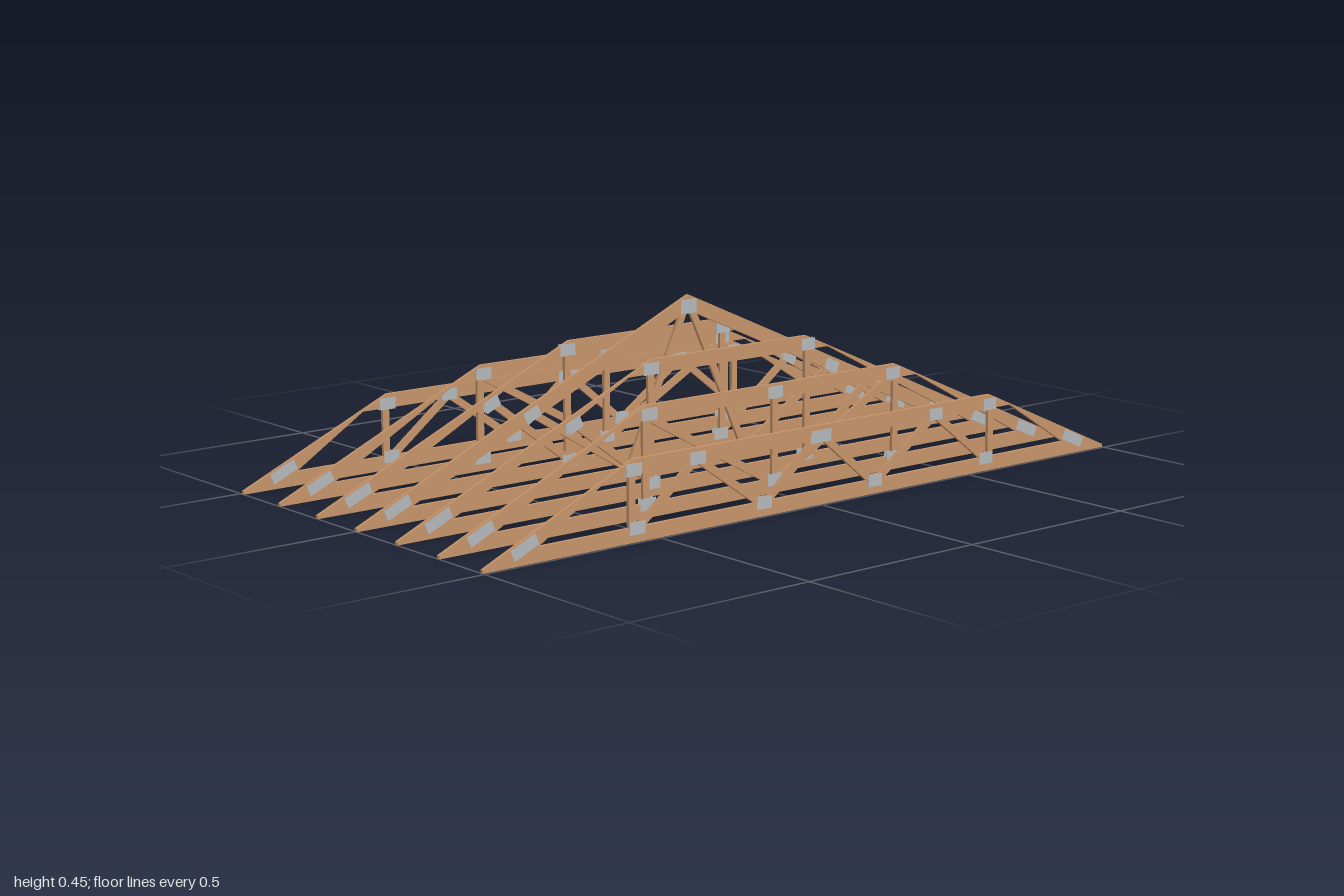
import * as THREE from 'three';

const WIDTH = 0.009, DEPTH = 0.036, WEB = 0.019;
const HEEL = 0.008, SLOPE = 0.44;
const DROP = DEPTH * Math.hypot(1, SLOPE);
const PITCH = Math.atan(SLOPE);
const wood = new THREE.MeshStandardMaterial({ color: 0xc6946a });
const steel = new THREE.MeshStandardMaterial({ color: 0xb4b8ba });

// Roof line height at a distance z from the middle, and where it reaches a height
const roofY = z => HEEL + SLOPE * (1 - Math.abs(z));
const roofZ = y => 1 - (y - HEEL) / SLOPE;

// Timber cut from a side outline of [z, y] points
function timber(name, points, width = WIDTH) {
  const shape = new THREE.Shape(points.map(p => new THREE.Vector2(...p)));
  const geo = new THREE.ExtrudeGeometry(shape, { depth: width, bevelEnabled: false });
  geo.translate(0, 0, -width / 2);
  geo.rotateY(-Math.PI / 2);
  const mesh = new THREE.Mesh(geo, wood);
  mesh.name = name;
  return mesh;
}

// Straight web between two [z, y] points
function web([z1, y1], [z2, y2]) {
  const length = Math.hypot(z2 - z1, y2 - y1);
  const mesh = new THREE.Mesh(new THREE.BoxGeometry(WIDTH * 0.97, WEB, length), wood);
  mesh.position.set(0, (y1 + y2) / 2, (z1 + z2) / 2);
  mesh.rotation.x = -Math.atan2(y2 - y1, z2 - z1);
  mesh.name = 'web';
  return mesh;
}

// Nail plates pressed on both faces of a joint
function plate([z, y], length = 0.046, height = 0.03, angle = 0) {
  const group = new THREE.Group();
  group.name = 'nailPlates';
  for (const side of [-1, 1]) {
    const mesh = new THREE.Mesh(new THREE.BoxGeometry(0.0008, height, length), steel);
    mesh.position.set(side * (WIDTH / 2 + 0.0003), y, z);
    mesh.rotation.x = angle;
    mesh.name = 'nailPlate';
    group.add(mesh);
  }
  return group;
}

// One truss: flat-topped at the given height, or peaked when the height is the ridge
function truss(name, height, webs, plates) {
  const group = new THREE.Group();
  group.name = name;
  const zTop = Math.max(roofZ(height), 0);
  const zOuter = roofZ(DEPTH);
  const zInner = roofZ(DEPTH + DROP);

  group.add(timber('bottomChord', [
    [-1, 0], [1, 0], [1, HEEL], [zOuter, DEPTH], [-zOuter, DEPTH], [-1, HEEL],
  ]));
  if (zTop > 0.01) {
    const zUnder = roofZ(height - DEPTH);
    group.add(timber('flatTopChord', [
      [-zUnder, height - DEPTH], [zUnder, height - DEPTH], [zTop, height], [-zTop, height],
    ]));
  }
  for (const s of [-1, 1]) {
    // sloped chord, cut to fit the bottom chord and the flat chord or ridge
    const end = zTop > 0.01
      ? [[s * roofZ(height - DEPTH), height - DEPTH],
        [s * (roofZ(height - DEPTH) - (DROP - DEPTH) / SLOPE), height - DEPTH]]
      : [[0, roofY(0)], [0, roofY(0) - DROP]];
    group.add(timber('slopedTopChord', [[s * zInner, DEPTH], [s * zOuter, DEPTH], ...end]));
    group.add(plate([s * 0.885, 0.04], 0.075, 0.028, s * PITCH));
    for (const [a, b] of webs) group.add(web([s * a[0], a[1]], [s * b[0], b[1]]));
    for (const [z, y, tilt = 0] of plates) group.add(plate([s * z, y], 0.046, 0.03, s * tilt * PITCH));
  }
  return group;
}

export function createModel() {
  const root = new THREE.Group();
  root.name = 'hipRoofTrusses';
  const LOW = 0.03;

  // Half-side web layouts, mirrored about the middle of each truss
  const makers = [
    () => truss('ridgeTruss', roofY(0), [
      [[0.012, 0.41], [0.19, LOW]],
      [[0.19, LOW], [0.48, 0.205]],
    ], [[0.19, 0.033], [0.49, 0.208, 1]]),
    () => truss('upperHipTruss', 0.338, [
      [[0.255, LOW], [0.255, 0.31]],
      [[0.245, LOW], [0.48, 0.205]],
    ], [[0.255, 0.315], [0.25, 0.033], [0.49, 0.208, 1]]),
    () => truss('middleHipTruss', 0.271, [
      [[0.405, LOW], [0.405, 0.245]],
      [[0.395, 0.24], [0.01, LOW]],
    ], [[0.395, 0.248], [0.4, 0.033]]),
    () => truss('lowerHipTruss', 0.195, [
      [[0.58, LOW], [0.58, 0.165]],
      [[0.565, LOW], [0.39, 0.165]],
      [[0.38, 0.165], [0.185, LOW]],
      [[0.175, LOW], [0.01, 0.165]],
    ], [[0.575, 0.17], [0.565, 0.033], [0.385, 0.17], [0.18, 0.033]]),
  ];

  makers.forEach((make, i) => {
    for (const side of i ? [-1, 1] : [1]) {
      const t = make();
      t.position.x = side * i * 0.1632;
      // centre joints
      if (i === 0) t.add(plate([0, 0.418], 0.05, 0.036));
      if (i === 2) t.add(web([0, LOW], [0, 0.245]), plate([0, 0.25]), plate([0, 0.033]));
      if (i === 3) t.add(plate([0, 0.168], 0.065, 0.03));
      root.add(t);
    }
  });
  return root;
}
